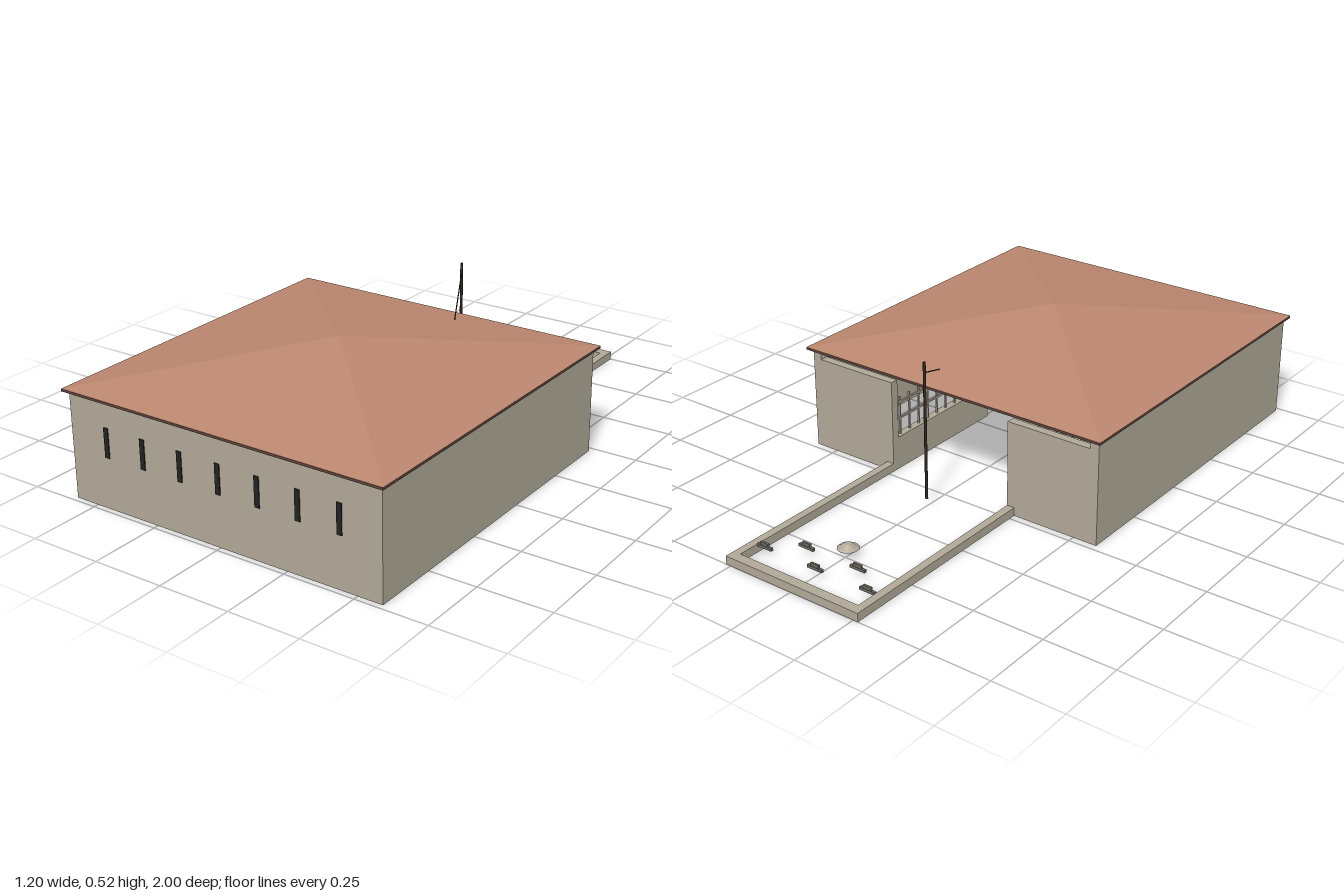
import * as THREE from 'three';

const mat = (name, color) => {
  const m = new THREE.MeshStandardMaterial({ color });
  m.name = name;
  return m;
};

export function createModel() {
  const group = new THREE.Group();
  const plaster = mat('plaster', 0xb0a898);
  const tile = mat('roof tile', 0xbc8770);
  const eaveWood = mat('eave wood', 0x5a4038);
  const slitBlack = mat('slit black', 0x222224);
  const darkWood = mat('dark wood', 0x33291f);
  const stone = mat('grey stone', 0x69685f);

  const add = (name, geometry, material) => {
    const mesh = new THREE.Mesh(geometry, material);
    mesh.name = name;
    group.add(mesh);
    return mesh;
  };
  // Box given by its lower and upper limits on each axis
  const box = (name, material, [x0, x1], [y0, y1], [z0, z1]) =>
    add(name, new THREE.BoxGeometry(x1 - x0, y1 - y0, z1 - z0), material)
      .position.set((x0 + x1) / 2, (y0 + y1) / 2, (z0 + z1) / 2);
  // The same box on both sides of x = 0
  const pair = (name, material, [x0, x1], y, z) => {
    box(name + 'Left', material, [x0, x1], y, z);
    box(name + 'Right', material, [-x1, -x0], y, z);
  };
  const rod = (name, a, b, r, material) => {
    const from = new THREE.Vector3(...a), to = new THREE.Vector3(...b);
    const dir = to.clone().sub(from);
    const mesh = add(name, new THREE.CylinderGeometry(r, r, dir.length(), 6), material);
    mesh.position.copy(from).add(to).multiplyScalar(0.5);
    mesh.quaternion.setFromUnitVectors(new THREE.Vector3(0, 1, 0), dir.normalize());
  };

  // Outer walls, open below, with a wide entrance at the back
  box('frontWall', plaster, [-0.587, 0.587], [0, 0.368], [0.95, 0.982]);
  pair('sideWall', plaster, [0.555, 0.587], [0, 0.368], [-0.226, 0.95]);
  pair('backWall', plaster, [0.24, 0.555], [0, 0.335], [-0.226, -0.196]);

  // Slit windows
  for (let i = -3; i <= 3; i++) {
    const x = i * 0.147;
    box('slitWindow', slitBlack, [x - 0.009, x + 0.009], [0.177, 0.279], [0.979, 0.985]);
  }

  // Flat eave slab and hipped roof
  box('eaveSlab', eaveWood, [-0.602, 0.602], [0.368, 0.377], [-0.246, 1]);
  const roof = new THREE.ConeGeometry(Math.SQRT2, 1, 4, 1, true).toNonIndexed();
  roof.rotateY(Math.PI / 4);
  roof.scale(0.602, 0.105, 0.623);
  roof.computeVertexNormals();
  add('roof', roof, tile).position.set(0, 0.4295, 0.377);

  // Inner passage walls: sill, end pillar and barred opening
  pair('passageSill', plaster, [0.24, 0.268], [0, 0.12], [-0.196, 0.31]);
  pair('passagePillar', plaster, [0.24, 0.268], [0.12, 0.21], [0.17, 0.31]);
  for (let i = 0; i < 7; i++) {
    const z = -0.17 + i * 0.05;
    pair('bar', plaster, [0.251, 0.257], [0.12, 0.26], [z - 0.003, z + 0.003]);
  }
  for (const y of [0.18, 0.24])
    pair('barRail', plaster, [0.251, 0.257], [y - 0.003, y + 0.003], [-0.196, 0.17]);

  // Low yard wall
  pair('yardSideWall', plaster, [0.24, 0.268], [0, 0.03], [-0.965, -0.226]);
  box('yardBackWall', plaster, [-0.268, 0.268], [0, 0.03], [-1, -0.965]);

  // Yard stones and mound
  for (const [x, z] of [[-0.21, -0.887], [0, -0.887], [0.21, -0.887], [-0.105, -0.81], [0.105, -0.81]]) {
    box('stoneBase', stone, [x - 0.03, x + 0.03], [0.024, 0.034], [z - 0.005, z + 0.005]);
    box('stoneTop', stone, [x - 0.016, x + 0.016], [0.034, 0.045], [z - 0.004, z + 0.004]);
  }
  add('mound', new THREE.CylinderGeometry(0.012, 0.037, 0.016, 10), plaster)
    .position.set(0, 0.036, -0.735);

  // Mast and its stay line
  rod('mast', [0, 0.028, -0.345], [0, 0.52, -0.345], 0.005, darkWood);
  rod('stayLine', [0, 0.483, -0.345], [0.1, 0.394, -0.145], 0.002, darkWood);

  return group;
}
